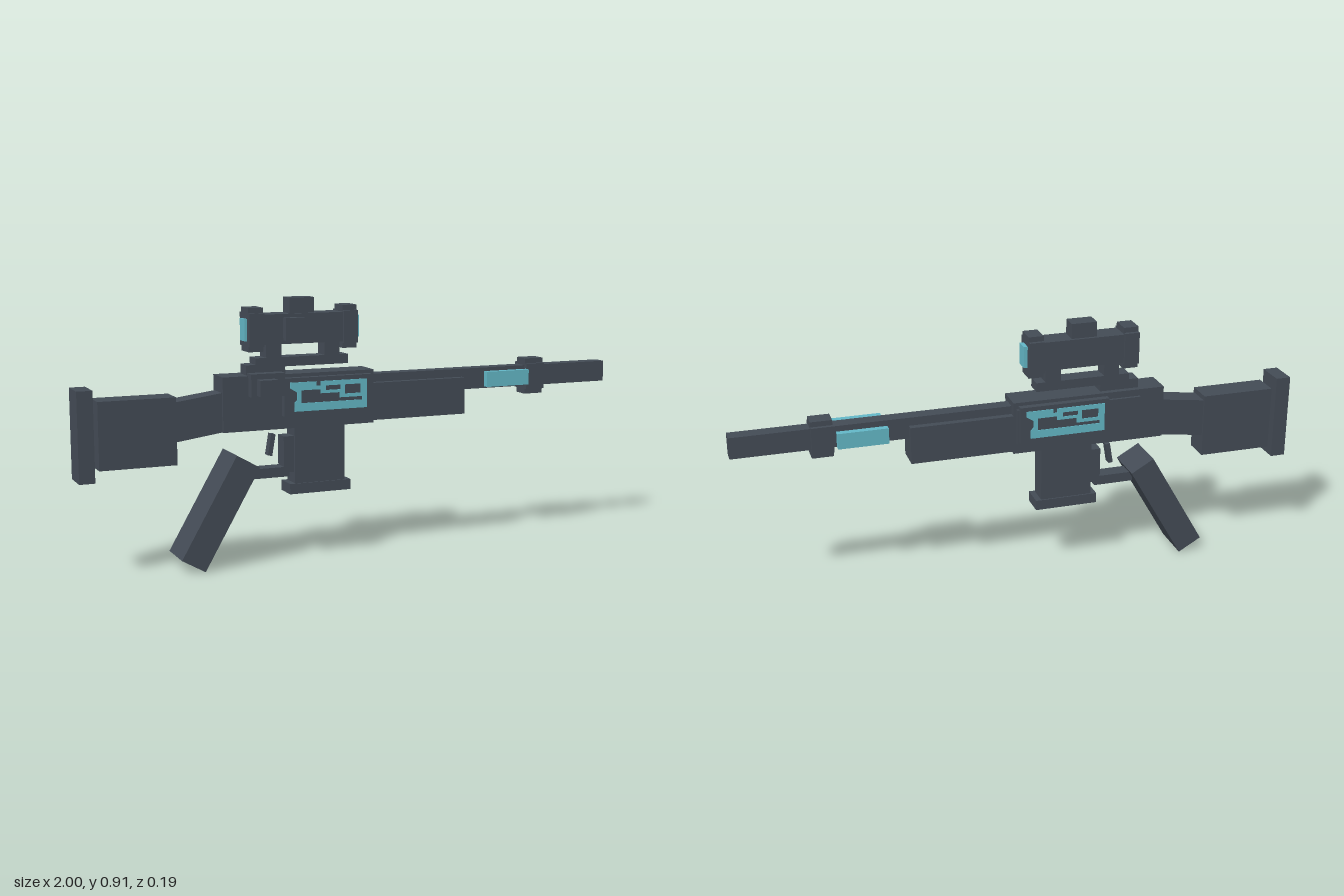
import * as THREE from 'three';

export function createModel() {
  const model = new THREE.Group();
  model.name = 'rifle';
  const gunmetal = new THREE.MeshStandardMaterial({ name: 'gunmetal', color: 0x434b55 });
  const teal = new THREE.MeshStandardMaterial({ name: 'teal', color: 0x63b7c6 });

  // everything hangs on a centre plane slightly behind z = 0
  const body = new THREE.Group();
  body.name = 'body';
  body.position.z = -0.0195;
  model.add(body);

  const add = (name, geometry, material = gunmetal) => {
    const mesh = new THREE.Mesh(geometry, material);
    mesh.name = name;
    body.add(mesh);
    return mesh;
  };
  // box from its x, y and z limits
  const box = (name, x0, x1, y0, y1, z0, z1, material) => {
    const mesh = add(name, new THREE.BoxGeometry(x1 - x0, y1 - y0, z1 - z0), material);
    mesh.position.set((x0 + x1) / 2, (y0 + y1) / 2, (z0 + z1) / 2);
    return mesh;
  };
  // box symmetric about the centre plane, h = half width
  const mid = (name, x0, x1, y0, y1, h, material) => box(name, x0, x1, y0, y1, -h, h, material);
  // ring with stepped corners
  const steppedRing = (name, x0, x1, y0, y1, h, step) => {
    mid(name, x0, x1, y0 + step, y1 - step, h);
    mid(name + 'Core', x0, x1, y0, y1, h - 0.013);
  };

  // stock
  mid('buttPlate', -1, -0.947, 0.332, 0.635, 0.053);
  mid('stock', -0.932, -0.67, 0.37, 0.597, 0.048);
  const neck = new THREE.Shape([[-0.68, 0.444], [-0.5, 0.469], [-0.5, 0.602], [-0.68, 0.578]]
    .map(([x, y]) => new THREE.Vector2(x, y)));
  add('stockNeck', new THREE.ExtrudeGeometry(neck, { depth: 0.08, bevelEnabled: false }))
    .position.z = -0.04;

  // receiver with side panels
  mid('receiver', -0.51, 0.04, 0.467, 0.654, 0.05);
  mid('sidePlates', -0.3, 0.022, 0.512, 0.642, 0.0725);
  box('rearPanel', -0.42, 0.03, 0.505, 0.63, -0.06, -0.04);
  mid('topBlock', -0.42, -0.28, 0.65, 0.688, 0.03);
  box('boltBase', -0.42, -0.3, 0.585, 0.663, 0.04, 0.08);
  box('boltHandle', -0.4, -0.337, 0.59, 0.645, 0.08, 0.115);

  // circuit inlay, turned half round for the far side
  const path = (Type, pts) => new Type(pts.map(([x, y]) => new THREE.Vector2(x, y)));
  const inlay = path(THREE.Shape, [[-0.125, -0.05], [0.143, -0.05], [0.143, 0.05], [-0.03, 0.05],
    [-0.03, 0.035], [-0.045, 0.035], [-0.045, 0.05], [-0.14, 0.05], [-0.14, 0.03], [-0.115, 0.015],
    [-0.115, -0.01], [-0.125, -0.02]]);
  inlay.holes.push(
    path(THREE.Path, [[-0.1, -0.022], [0.125, -0.022], [0.125, -0.01], [0.04, -0.01],
      [0.04, 0.008], [-0.03, 0.008], [-0.03, 0.022], [-0.1, 0.022]]),
    path(THREE.Path, [[0.06, 0.002], [0.12, 0.002], [0.12, 0.034], [0.06, 0.034]]),
    path(THREE.Path, [[-0.01, 0.018], [0.045, 0.018], [0.045, 0.034], [-0.01, 0.034]]));
  const inlayGeometry = new THREE.ExtrudeGeometry(inlay, { depth: 0.003, bevelEnabled: false });
  for (const side of [1, -1]) {
    const mesh = add('circuitInlay', inlayGeometry, teal);
    mesh.position.set(-0.139, 0.577, side * 0.0723);
    mesh.rotation.y = side > 0 ? 0 : Math.PI;
  }

  // barrel
  mid('handguard', 0.03, 0.4, 0.475, 0.606, 0.048);
  mid('barrel', 0.03, 1, 0.56, 0.635, 0.025);
  steppedRing('muzzleCollar', 0.658, 0.732, 0.53, 0.66, 0.042, 0.018);
  for (const side of [1, -1]) {
    box('barrelLight', 0.478, 0.65, 0.57, 0.625, side * 0.06 - 0.0115, side * 0.06 + 0.0115, teal);
  }

  // magazine, trigger and guard
  mid('magazine', -0.25, -0.065, 0.265, 0.47, 0.037);
  mid('magazineBase', -0.27, -0.045, 0.235, 0.271, 0.042);
  mid('guardPost', -0.287, -0.25, 0.31, 0.436, 0.028);
  mid('triggerGuard', -0.412, -0.267, 0.296, 0.33, 0.028);
  const trigger = mid('trigger', -0.334, -0.318, 0.37, 0.445, 0.015);
  trigger.rotation.z = -0.17;

  // raked grip
  const grip = add('grip', new THREE.BoxGeometry(0.094, 0.395, 0.15));
  grip.position.set(-0.53, 0.197, 0);
  grip.rotation.z = -Math.PI / 6;

  // scope
  mid('scopeRail', -0.386, -0.048, 0.678, 0.71, 0.03);
  for (const x of [-0.348, -0.135]) mid('scopePost', x, x + 0.055, 0.7, 0.765, 0.03);
  mid('scopeTube', -0.365, -0.065, 0.755, 0.857, 0.04);
  for (const x of [-0.413, -0.071]) steppedRing('scopeRing', x, x + 0.053, 0.732, 0.88, 0.049, 0.018);
  mid('topTurret', -0.263, -0.173, 0.85, 0.91, 0.03);
  box('sideTurret', -0.29, -0.22, 0.768, 0.845, 0.035, 0.067);
  for (const x of [-0.422, -0.019]) mid('lens', x, x + 0.015, 0.768, 0.843, 0.024, teal);

  return model;
}
